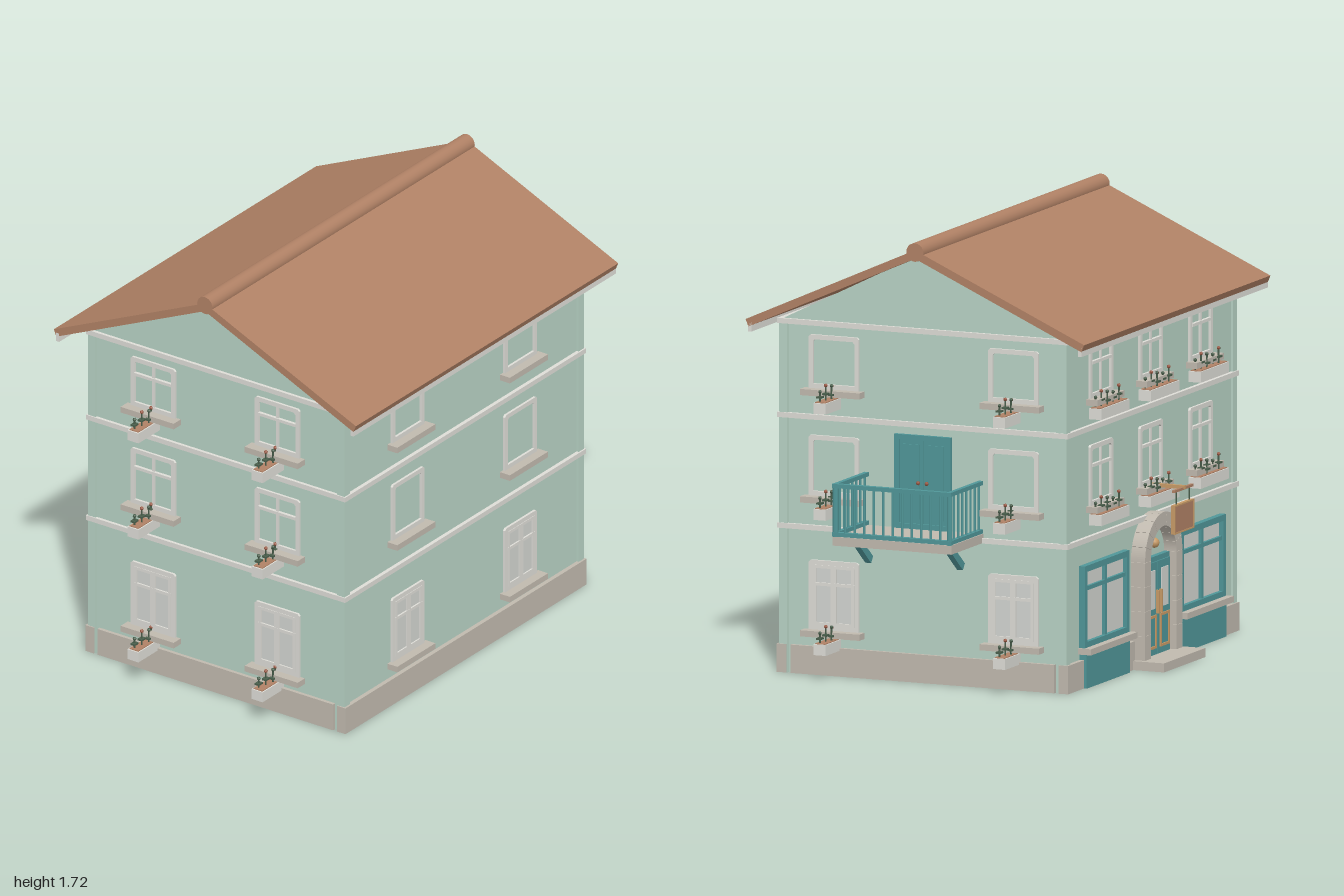
import * as THREE from 'three';

const mat = (name, color) => {
  const m = new THREE.MeshStandardMaterial({ color });
  m.name = name;
  return m;
};
const M = {
  wall: mat('mint plaster', 0xb7d2c4), trim: mat('light trim', 0xdddcd6),
  stone: mat('stone', 0xc0b9ae), roof: mat('clay roof', 0xb08165),
  teal: mat('teal paint', 0x509698), glass: mat('glass', 0xd2d4d0),
  wood: mat('tan wood', 0xc79a66), plant: mat('leaf green', 0x4a5f4c),
  flower: mat('red brown', 0x9a5a45), floor: mat('floor boards', 0xbc9e79),
};
const HX = 0.777, HZ = 0.595; // wall half sizes

function add(parent, name, geo, material, x = 0, y = 0, z = 0) {
  const m = new THREE.Mesh(geo, material);
  m.name = name;
  m.position.set(x, y, z);
  parent.add(m);
  return m;
}
const box = (p, name, material, w, h, d, x, y, z) =>
  add(p, name, new THREE.BoxGeometry(w, h, d), material, x, y, z);

const extrude = (shape, depth, curveSegments = 12) =>
  new THREE.ExtrudeGeometry(shape, { depth, bevelEnabled: false, curveSegments });

// rectangular ring centred on the origin, border t, extruded along z, upper corners cut by c
function ring(w, h, t, depth, c = 0) {
  const rect = (C, a, b) => {
    const top = c ? [[a, b - c], [a - c, b], [c - a, b], [-a, b - c]] : [[a, b], [-a, b]];
    return new C([[-a, -b], [a, -b], ...top].map(q => new THREE.Vector2(...q)));
  };
  const s = rect(THREE.Shape, w / 2, h / 2);
  s.holes.push(rect(THREE.Path, w / 2 - t, h / 2 - t));
  return extrude(s, depth);
}
const flatRing = (hx, hz, t, h) => ring(hx * 2, hz * 2, t, h).rotateX(-Math.PI / 2);

// window on a facade whose wall plane is z = 0
function windowUnit(f, u, y0, y1, style) {
  const g = new THREE.Group();
  g.name = 'window';
  g.position.set(u, (y0 + y1) / 2, 0);
  f.add(g);
  const h = y1 - y0;
  add(g, 'windowSurround', ring(0.21, h, 0.018, 0.01, 0.008), M.trim);
  box(g, 'windowSill', M.stone, 0.25, 0.024, 0.05, 0, -h / 2 - 0.012, 0.022);
  if (style === 'blank') return;
  if (style === 'casement') {
    box(g, 'windowGlass', M.glass, 0.176, h - 0.034, 0.006, 0, 0, 0.003);
    for (const s of [-1, 1])
      add(g, 'casementFrame', ring(0.086, h - 0.036, 0.012, 0.012), M.trim, s * 0.043);
  } else box(g, 'mullion', M.trim, 0.012, h - 0.03, 0.008, 0, 0, 0.004);
  box(g, 'transom', M.trim, 0.176, 0.012, 0.013, 0, h * 0.16, 0.0065);
}

// planter with soil, stems, leaves and blossoms
function flowerBox(f, u, y, z, turned) {
  const g = new THREE.Group();
  g.name = 'flowerBox';
  g.position.set(u, y, z);
  if (turned) g.rotation.y = Math.PI / 2;
  f.add(g);
  box(g, 'planter', M.trim, 0.26, 0.042, 0.052, 0, 0.021, 0);
  box(g, 'soil', M.roof, 0.248, 0.004, 0.042, 0, 0.043, 0);
  for (let i = 0; i < 7; i++) {
    const x = -0.108 + i * 0.036, h = 0.038 + 0.02 * ((i * 3) % 4) / 3, dz = 0.008 * (i % 3 - 1);
    add(g, 'stem', new THREE.CylinderGeometry(0.0035, 0.0035, h, 5), M.plant, x, 0.045 + h / 2, dz);
    box(g, 'leaf', M.plant, 0.026, 0.007, 0.02, x, 0.062 + 0.008 * (i % 2), dz);
    add(g, 'blossom', new THREE.IcosahedronGeometry(0.008), i % 2 ? M.flower : M.plant, x, 0.045 + h, dz);
  }
}

function shopWindow(f, u) {
  const g = new THREE.Group();
  g.name = 'shopWindow';
  g.position.x = u;
  f.add(g);
  box(g, 'shopGlass', M.glass, 0.38, 0.3, 0.008, 0, 0.315, 0.004);
  add(g, 'shopFrame', ring(0.41, 0.32, 0.024, 0.025), M.teal, 0, 0.315);
  box(g, 'shopMullion', M.teal, 0.018, 0.3, 0.02, 0, 0.315, 0.01);
  box(g, 'shopTransom', M.teal, 0.38, 0.016, 0.02, 0, 0.385, 0.01);
  box(g, 'shopSill', M.stone, 0.43, 0.024, 0.055, 0, 0.145, 0.027);
  box(g, 'shopPanel', M.teal, 0.4, 0.133, 0.03, 0, 0.0665, 0.015);
}

function entrance(f) {
  const g = new THREE.Group();
  g.name = 'entrance';
  f.add(g);
  const spring = 0.415, ro = 0.172, ri = 0.118;
  box(g, 'doorStep', M.stone, 0.38, 0.035, 0.148, 0, 0.0175, 0.074);
  // stone jambs and arch stones
  for (const s of [-1, 1]) for (let i = 0; i < 4; i++)
    box(g, 'jambStone', M.stone, ro - ri, 0.094, 0.06, s * (ro + ri) / 2, 0.035 + 0.095 * (i + 0.5), 0.03);
  const n = 9;
  for (let i = 0; i < n; i++) {
    const a = (i + 0.01) * Math.PI / n, b = (i + 0.99) * Math.PI / n, s = new THREE.Shape();
    s.absarc(0, 0, ro, a, b, false);
    s.absarc(0, 0, ri, b, a, true);
    add(g, 'archStone', extrude(s, 0.06, 4), M.stone, 0, spring, 0);
  }
  // fanlight
  const fan = new THREE.Shape();
  fan.absarc(0, 0, ri, 0, Math.PI, false);
  add(g, 'fanlight', extrude(fan, 0.008), M.wall, 0, spring, 0);
  box(g, 'doorTransom', M.teal, 0.236, 0.022, 0.03, 0, spring - 0.011, 0.015);
  add(g, 'lantern', new THREE.SphereGeometry(0.02, 12, 8), M.wood, 0, spring + 0.05, 0.02);
  // double door
  for (const s of [-1, 1]) {
    box(g, 'doorLeaf', M.teal, 0.112, 0.36, 0.02, s * 0.058, 0.215, 0.025);
    box(g, 'doorGlass', M.glass, 0.06, 0.15, 0.006, s * 0.06, 0.29, 0.036);
    add(g, 'doorPanelMoulding', ring(0.085, 0.13, 0.01, 0.006), M.wood, s * 0.06, 0.125, 0.034);
    box(g, 'doorHandle', M.wood, 0.01, 0.09, 0.014, s * 0.014, 0.24, 0.042);
  }
  // hanging sign board
  box(g, 'signArm', M.wood, 0.014, 0.014, 0.15, 0, 0.69, 0.075);
  box(g, 'signBar', M.roof, 0.17, 0.01, 0.012, 0, 0.685, 0.14);
  for (const s of [-1, 1]) box(g, 'signHanger', M.plant, 0.005, 0.06, 0.005, s * 0.06, 0.655, 0.14);
  box(g, 'signBoard', M.roof, 0.17, 0.105, 0.012, 0, 0.575, 0.14);
  add(g, 'signFrame', ring(0.178, 0.113, 0.006, 0.016), M.wood, 0, 0.575, 0.132);
}

function balcony(f) {
  const g = new THREE.Group();
  g.name = 'balcony';
  f.add(g);
  const out = 0.295, hw = 0.24;
  box(g, 'balconySlab', M.stone, 0.5, 0.035, out, 0, 0.578, out / 2);
  const bar = (x, z, r) =>
    add(g, 'baluster', new THREE.CylinderGeometry(r, r, 0.2, 8), M.teal, x, 0.695, z);
  for (let i = 0; i <= 12; i++) bar(-hw + i * hw / 6, out - 0.008, i % 12 ? 0.005 : 0.012);
  for (const s of [-1, 1]) {
    for (let i = 0; i < 7; i++) bar(s * hw, 0.02 + i * 0.038, 0.005);
    for (const y of [0.605, 0.793]) box(g, 'sideRail', M.teal, 0.018, 0.016, out, s * hw, y, out / 2);
    const brace = box(g, 'brace', M.teal, 0.025, 0.03, 0.15, s * 0.193, 0.523, 0.14);
    brace.rotation.x = -0.66;
  }
  for (const y of [0.605, 0.793]) box(g, 'frontRail', M.teal, 0.5, 0.016, 0.02, 0, y, out - 0.006);
  // balcony doors
  add(g, 'balconyDoorFrame', ring(0.236, 0.365, 0.02, 0.014), M.teal, 0, 0.778);
  for (const s of [-1, 1]) {
    box(g, 'balconyDoorLeaf', M.teal, 0.097, 0.33, 0.006, s * 0.0495, 0.778, 0.003);
    box(g, 'balconyDoorPanel', M.teal, 0.07, 0.29, 0.004, s * 0.05, 0.778, 0.008);
    add(g, 'doorKnob', new THREE.SphereGeometry(0.008, 8, 6), M.flower, s * 0.018, 0.775, 0.014);
  }
}

export function createModel() {
  const model = new THREE.Group();
  model.name = 'townHouse';
  const house = new THREE.Group();
  house.name = 'house';
  house.position.set(-0.083, 0, 0.018);
  model.add(house);

  // shell, plinth and bands
  add(house, 'walls', flatRing(HX, HZ, 0.05, 1.37), M.wall);
  for (const s of [-1, 1]) {
    box(house, 'plinth', M.stone, 1.582, 0.11, 0.04, 0, 0.055, s * 0.593);
    box(house, 'plinth', M.stone, 0.035, 0.11, 1.11, s * 0.774, 0.055, 0);
  }
  for (const y of [0.56, 0.99, 1.355]) add(house, 'band', flatRing(0.79, 0.611, 0.03, 0.02), M.trim, 0, y);
  box(house, 'floor', M.floor, HX * 2 - 0.1, 0.02, HZ * 2 - 0.1, 0, 0.07, 0);
  box(house, 'ceiling', M.wall, HX * 2 - 0.02, 0.015, HZ * 2 - 0.02, 0, 1.365, 0);
  for (const sx of [-1, 1]) for (const sz of [-1, 1])
    box(house, 'cornerPilaster', M.wall, 0.035, 1.36, 0.035, sx * 0.768, 0.68, sz * 0.587);

  // gables and roof, profiles drawn across the house
  const poly = pts => new THREE.Shape(pts.map(q => new THREE.Vector2(...q)));
  const gable = poly([[-0.595, 1.372], [0.595, 1.372], [0, 1.668]]);
  for (const x of [-HX, HX - 0.04])
    add(house, 'gable', extrude(gable, 0.04).rotateY(Math.PI / 2), M.wall, x);
  const slope = poly([[-0.712, 1.374], [-0.7, 1.346], [0, 1.659], [0.7, 1.346], [0.712, 1.374], [0, 1.692]]);
  add(house, 'roof', extrude(slope, 1.72).rotateY(Math.PI / 2), M.roof, -0.86);
  add(house, 'ridge', new THREE.CylinderGeometry(0.036, 0.036, 1.72, 20).rotateZ(Math.PI / 2), M.roof, 0, 1.683);
  for (const s of [-1, 1]) box(house, 'eavesBoard', M.trim, 1.72, 0.036, 0.014, 0, 1.345, s * 0.694);

  // facades: local z = 0 is the wall plane, facing outwards
  const facade = (name, angle, dist) => {
    const f = new THREE.Group();
    f.name = name;
    f.rotation.y = angle;
    f.position.set(Math.sin(angle) * dist, 0, Math.cos(angle) * dist);
    house.add(f);
    return f;
  };
  const front = facade('frontFacade', 0, HZ), back = facade('backFacade', Math.PI, HZ);
  const left = facade('leftFacade', Math.PI / 2, HX), right = facade('rightFacade', -Math.PI / 2, HX);
  const floors = [[0.175, 0.445, 0.1], [0.695, 0.93, 0.625], [1.112, 1.32, 1.037]];
  floors.forEach(([y0, y1, yb], i) => {
    const upper = i > 0;
    for (const u of [-0.366, 0.372]) windowUnit(front, u, y0, y1, upper ? 'blank' : 'casement');
    for (const u of [-0.375, 0.38]) {
      windowUnit(left, u, y0, y1, upper ? 'blank' : 'casement');
      flowerBox(left, u, yb, 0.01, true);
    }
    for (const u of [-0.298, 0.287]) {
      windowUnit(right, u, y0, y1, upper ? 'barred' : 'casement');
      flowerBox(right, u, yb, 0.01, true);
    }
    if (upper) for (const u of [-0.46, 0, 0.46]) {
      windowUnit(back, u, y0, y1, 'barred');
      flowerBox(back, u, yb, 0.04, false);
    }
  });
  for (const u of [-0.445, 0.445]) shopWindow(back, u);
  entrance(back);
  balcony(left);
  return model;
}
